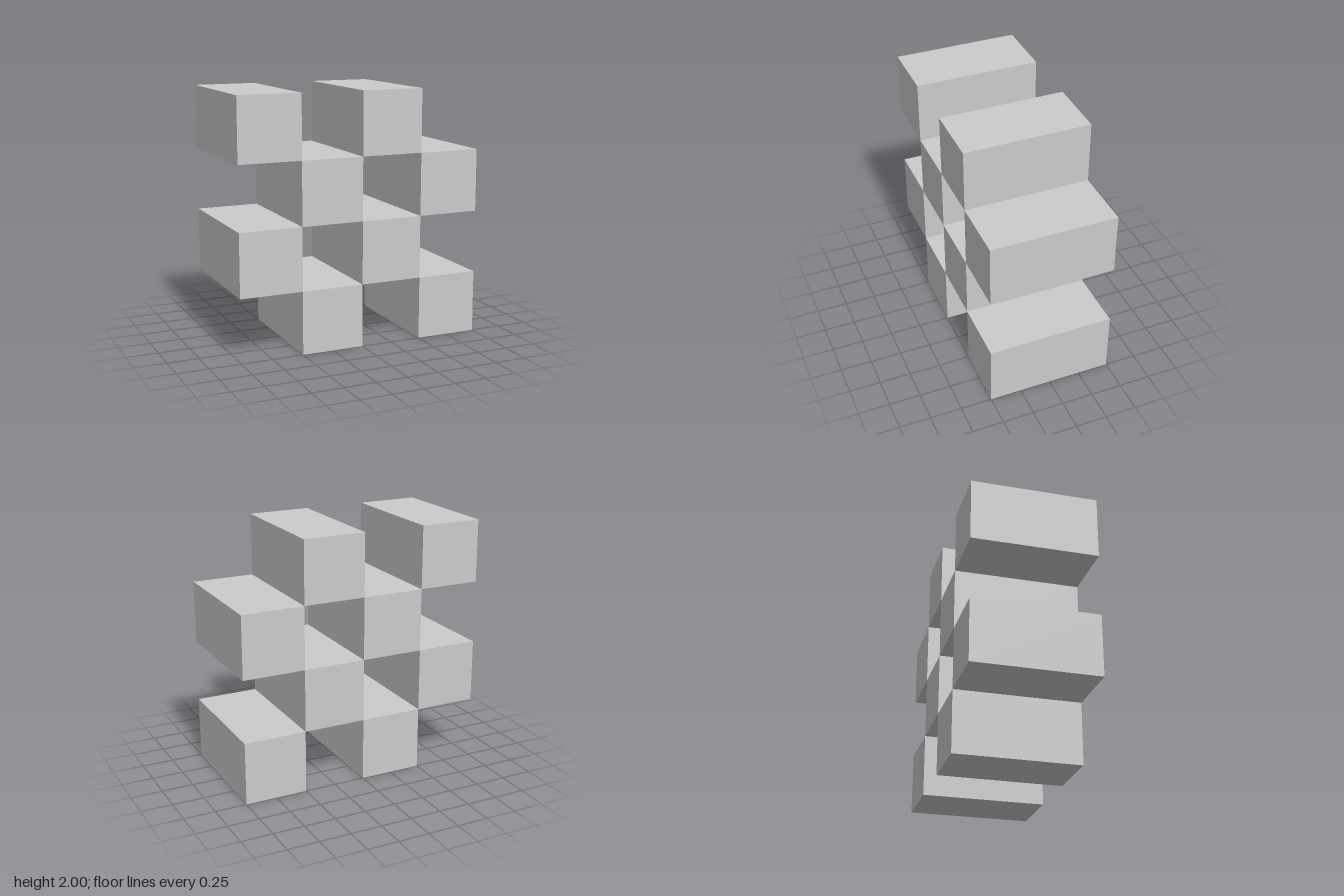
import * as THREE from 'three';

// Checkerboard wall: four rows of two long blocks, each row shifted by one cell
export function createModel() {
  const group = new THREE.Group();
  group.name = 'checkerboardWall';

  const cell = 0.5, depth = 1, count = 4;
  const material = new THREE.MeshStandardMaterial({ color: 0xcccccc });
  const geometry = new THREE.BoxGeometry(cell, cell, depth);

  for (let row = 0; row < count; row++) {
    for (let col = 0; col < count; col++) {
      // Even rows fill the odd columns, odd rows the even ones
      if ((row + col) % 2 === 0) continue;
      const block = new THREE.Mesh(geometry, material);
      block.name = `block row ${row + 1} column ${col + 1}`;
      block.position.set((col + 0.5) * cell - 1, (row + 0.5) * cell, 0);
      group.add(block);
    }
  }
  return group;
}
